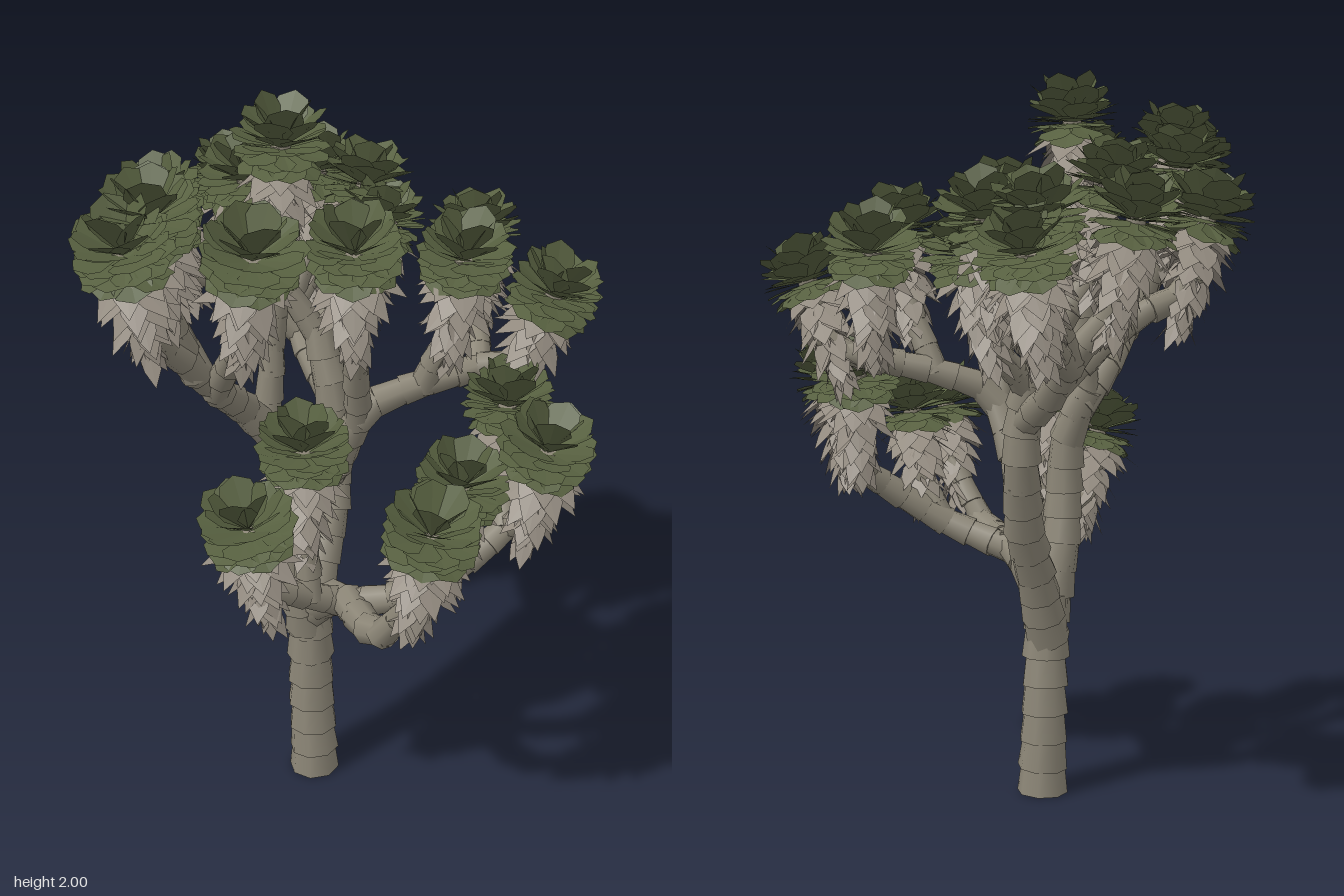
import * as THREE from 'three';
import { mergeGeometries } from 'three/addons/utils/BufferGeometryUtils.js';

const mat = (name, color, extra = {}) => {
  const m = new THREE.MeshStandardMaterial({ color, ...extra });
  m.name = name;
  return m;
};

let seed = 7;
const rand = () => (seed = (seed * 16807) % 2147483647) / 2147483647;
const jit = (a) => (rand() - 0.5) * 2 * a;
const V = (p) => new THREE.Vector3(...p);
const UP = new THREE.Vector3(0, 1, 0);

// Stacked, flared bark collars along a curve, each slightly askew
function barkAlong(points, r0, r1) {
  const curve = new THREE.CatmullRomCurve3(points);
  const n = Math.max(3, Math.round(curve.getLength() / 0.075));
  const pieces = [];
  for (let i = 0; i < n; i++) {
    const a = curve.getPointAt(i / n), b = curve.getPointAt((i + 1) / n);
    const dir = b.clone().sub(a), len = dir.length();
    const r = r0 + (r1 - r0) * ((i + 0.5) / n);
    const g = new THREE.CylinderGeometry(r * 0.9, r * 1.08, len * 1.22, 8);
    g.rotateY(jit(0.4));
    // the lowest collar stays level on the ground
    const c = a.add(b).multiplyScalar(0.5);
    if (a.y < 0.06) c.y += len * 0.11;
    else dir.add(new THREE.Vector3(jit(0.006), 0, jit(0.006)));
    g.applyQuaternion(new THREE.Quaternion().setFromUnitVectors(UP, dir.normalize()));
    g.translate(c.x, c.y, c.z);
    pieces.push(g);
  }
  return mergeGeometries(pieces);
}

// Broad pointed leaf along +y, drooping a little; its front is the upper side
function leaf(length, half, peak) {
  const g = new THREE.BufferGeometry();
  const y1 = length * peak, y2 = length * Math.min(peak + 0.25, 0.88);
  g.setAttribute('position', new THREE.Float32BufferAttribute([
    0, 0, 0, half * 0.9, y1, 0.004, half * 0.75, y2, 0.008,
    0, length, 0.012, -half * 0.75, y2, 0.008, -half * 0.9, y1, 0.004], 3));
  g.setIndex([0, 2, 1, 0, 3, 2, 0, 4, 3, 0, 5, 4]);
  g.computeVertexNormals();
  return g;
}

// Ring of leaves around the y axis, theta measured from straight up
function ring(out, count, theta, y, length, half, peak, wild) {
  const phase = rand() * 6.28;
  for (let i = 0; i < count; i++) {
    const g = leaf(length * (1 + jit(wild)), half, peak);
    g.translate(0, 0.012, 0);
    g.rotateX(theta + jit(wild * 1.4));
    g.rotateY(phase + ((i + jit(0.2)) / count) * Math.PI * 2);
    g.translate(0, y, 0);
    out.push(g);
  }
}

// Dome of living leaves: count, angle, length
function rosette() {
  const out = [];
  [[5, 0.42, 0.136], [7, 0.75, 0.134], [9, 1.05, 0.126], [10, 1.35, 0.116], [10, 1.65, 0.11], [9, 1.95, 0.11]]
    .forEach(([n, t, l]) => ring(out, n, t, 0, l, 0.055, 0.6, 0.06));
  return mergeGeometries(out);
}

// Shaggy cone of dead leaves hanging under the dome
function skirt() {
  const out = [];
  for (let i = 0; i < 7; i++)
    ring(out, 9 - Math.floor(i / 2), 2.1 + i * 0.09, -0.01 - i * 0.037, 0.132 - i * 0.006, 0.045 - i * 0.003, 0.35, 0.14);
  return mergeGeometries(out);
}

// Main limbs: name, start radius, end radius, path
const LIMBS = [
  ['trunk', 0.067, 0.061, [[-0.06, 0, 0.05], [-0.065, 0.25, 0.05], [-0.07, 0.42, 0.05], [-0.07, 0.56, 0.05]]],
  ['backLimb', 0.058, 0.046, [[-0.07, 0.45, 0.04], [-0.02, 0.64, -0.03], [0.03, 0.8, -0.1], [0.05, 0.95, -0.16],
    [0.05, 1.1, -0.18], [0.02, 1.27, -0.22]]],
  ['rearBranch', 0.043, 0.037, [[0.05, 1.08, -0.18], [0.01, 1.17, -0.32], [-0.01, 1.27, -0.43]]],
  ['rearSideBranch', 0.036, 0.032, [[0, 1.2, -0.36], [-0.13, 1.32, -0.38], [-0.25, 1.4, -0.37]]],
  ['uprightLimb', 0.056, 0.046, [[-0.08, 0.5, 0.06], [-0.12, 0.7, 0.08], [-0.13, 0.88, 0.09], [-0.14, 1.02, 0.07],
    [-0.18, 1.14, 0.04]]],
  ['sideLimb', 0.046, 0.037, [[-0.17, 1.1, 0.05], [-0.25, 1.2, 0.08], [-0.33, 1.3, 0.17], [-0.4, 1.39, 0.22]]],
  ['crossLimb', 0.045, 0.036, [[0.03, 0.86, -0.12], [0.05, 1.02, -0.01], [0.09, 1.14, 0.04], [0.24, 1.2, 0.05],
    [0.41, 1.24, 0.06]]],
  ['lowFrontLimb', 0.052, 0.04, [[-0.07, 0.54, 0.06], [-0.04, 0.63, 0.15], [-0.01, 0.675, 0.25], [0, 0.675, 0.37],
    [0.03, 0.71, 0.47]]],
  ['lowLeftLimb', 0.043, 0.037, [[-0.02, 0.66, 0.23], [0.13, 0.72, 0.32], [0.28, 0.81, 0.34], [0.41, 0.9, 0.32]]],
  ['lowRightLimb', 0.04, 0.034, [[-0.02, 0.66, 0.22], [-0.12, 0.71, 0.25], [-0.2, 0.76, 0.29]]],
];

// Leaf heads: x, top height, z, then the point where the stem leaves its limb
const HEADS = [
  [0.14, 1.67, -0.59, -0.01, 1.25, -0.42], [0.09, 1.75, -0.52, -0.01, 1.27, -0.43],
  [-0.15, 1.75, -0.51, -0.01, 1.25, -0.41], [-0.38, 1.75, -0.36, -0.24, 1.39, -0.37],
  [-0.16, 1.83, -0.26, 0.02, 1.25, -0.22], [0.19, 1.75, -0.37, 0.02, 1.25, -0.22],
  [0.21, 1.66, -0.3, 0.04, 1.17, -0.2], [0.44, 1.66, -0.14, 0.4, 1.23, 0.05],
  [-0.125, 2.0, 0, -0.18, 1.13, 0.04], [-0.48, 1.88, 0.17, -0.38, 1.37, 0.21],
  [-0.5, 1.94, 0.28, -0.4, 1.38, 0.22], [-0.57, 1.89, 0.345, -0.39, 1.38, 0.22],
  [-0.295, 1.89, 0.45, -0.34, 1.31, 0.18], [-0.125, 1.26, 0.225, -0.12, 0.71, 0.25],
  [0.01, 1.78, 0.205, 0.07, 1.1, 0.03], [0.315, 1.71, 0.135, 0.24, 1.2, 0.05],
  [0.57, 1.58, 0.115, 0.4, 1.24, 0.06], [0.435, 1.31, 0.19, 0.39, 0.89, 0.32],
  [0.245, 1.19, 0.385, 0.16, 0.73, 0.33], [0.465, 1.28, 0.405, 0.4, 0.89, 0.32],
  [0.11, 1.18, 0.58, 0.02, 0.7, 0.46], [-0.295, 1.12, 0.34, -0.19, 0.76, 0.29],
];

export function createModel() {
  seed = 7;
  const bark = mat('greyBrownBark', 0x8b8576);
  const green = mat('oliveLeaf', 0x576040, { flatShading: true, side: THREE.DoubleSide });
  const dry = mat('dryLeaf', 0x928a7f, { flatShading: true, side: THREE.DoubleSide });
  const tree = new THREE.Group();
  tree.name = 'desertTree';
  const add = (parent, name, geometry, material) => {
    const m = new THREE.Mesh(geometry, material);
    m.name = name;
    parent.add(m);
  };

  for (const [name, r0, r1, path] of LIMBS) add(tree, name, barkAlong(path.map(V), r0, r1), bark);

  for (const [x, top, z, sx, sy, sz] of HEADS) {
    const centre = new THREE.Vector3(x, top - 0.138, z);
    const start = new THREE.Vector3(sx, sy, sz);
    const axis = centre.clone().sub(start).normalize().multiplyScalar(0.45).addScaledVector(UP, 0.55).normalize();
    // stem bends upward into the head
    const neck = centre.clone().addScaledVector(axis, -0.18);
    add(tree, 'stem', barkAlong([start, neck, centre], 0.037, 0.028), bark);
    const head = new THREE.Group();
    head.name = 'leafHead';
    head.position.copy(centre);
    head.quaternion.setFromUnitVectors(UP, axis);
    add(head, 'greenRosette', rosette(), green);
    add(head, 'dryLeafSkirt', skirt(), dry);
    tree.add(head);
  }
  return tree;
}
